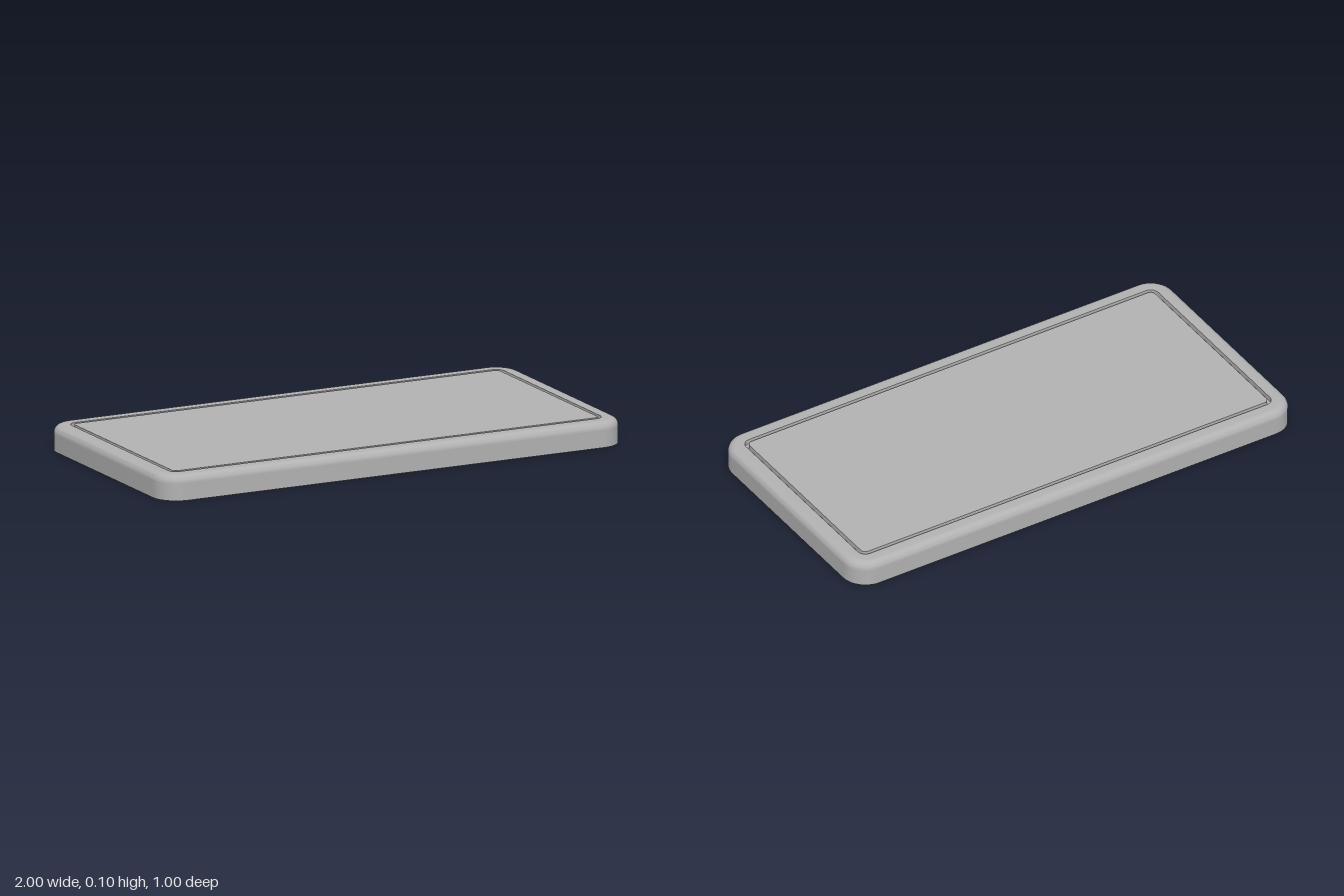
import * as THREE from 'three';
import { toCreasedNormals } from 'three/addons/utils/BufferGeometryUtils.js';

const CREASE = 0.5;

// Points of the rounded outline, shrunk by an inset.
function outline(inset) {
  const hx = 1 - inset, hz = 0.5 - inset, r = Math.max(0.1 - inset, 0.02), n = 10, pts = [];
  for (let c = 0; c < 4; c++) {
    const sx = c === 0 || c === 3 ? 1 : -1, sz = c < 2 ? 1 : -1;
    for (let k = 0; k <= n; k++) {
      const a = (c + k / n) * Math.PI / 2;
      pts.push(new THREE.Vector2(sx * (hx - r) + r * Math.cos(a), sz * (hz - r) + r * Math.sin(a)));
    }
  }
  return pts;
}

// Flat slab between two heights, with optional holes.
function slab(inset, y0, y1, holes = []) {
  const shape = new THREE.Shape(outline(inset));
  holes.forEach(h => shape.holes.push(new THREE.Path(h)));
  const geo = new THREE.ExtrudeGeometry(shape, { depth: y1 - y0, bevelEnabled: false });
  geo.rotateX(Math.PI / 2).translate(0, y1, 0);
  return toCreasedNormals(geo, CREASE);
}

// Sweep of [inset, y] steps around the outline.
function sweep(profile) {
  const rings = profile.map(([inset, y]) => outline(inset).map(p => [p.x, y, p.y]));
  const n = rings[0].length, index = [];
  for (let i = 0; i < rings.length - 1; i++) {
    for (let j = 0; j < n; j++) {
      const k = (j + 1) % n, a = i * n + j, b = i * n + k;
      index.push(a, a + n, b, a + n, b + n, b);
    }
  }
  const geo = new THREE.BufferGeometry();
  geo.setAttribute('position', new THREE.Float32BufferAttribute(rings.flat(2), 3));
  geo.setIndex(index);
  return toCreasedNormals(geo, CREASE);
}

// Square pocket opening with stepped extensions [halfWidth, z] on its front side.
function pocket(cx, steps = []) {
  const back = -0.29, front = 0.21, half = 0.25, right = [[half, back], [half, front]];
  let z = front;
  for (const [w, depth] of steps) {
    right.push([w, z], [w, depth]);
    z = depth;
  }
  const left = right.map(([x, d]) => [-x, d]).reverse();
  return [...right, ...left].map(([x, d]) => new THREE.Vector2(cx + x, d));
}

export function createModel() {
  const group = new THREE.Group();
  const grey = new THREE.MeshStandardMaterial({ color: 0xb2b2b2 });
  grey.name = 'grey';
  const add = (name, geo) => {
    const mesh = new THREE.Mesh(geo, grey);
    mesh.name = name;
    group.add(mesh);
  };
  const pair = steps => [-0.6, 0.6].map(x => pocket(x, steps));

  // Underside layers: notched opening, clip slot, pocket walls, pocket floor
  add('undersideWithNotches', slab(0, 0, 0.02, pair([[0.065, 0.26]])));
  add('clipSlotLayer', slab(0, 0.02, 0.045, pair([[0.2, 0.235], [0.065, 0.26]])));
  add('pocketWalls', slab(0, 0.045, 0.065, pair()));
  add('pocketFloor', slab(0, 0.065, 0.07));

  // Rounded rim running in to the floor of the groove
  const r = 0.03, profile = [];
  for (let k = 0; k <= 8; k++) {
    const a = k / 8 * Math.PI / 2;
    profile.push([r * (1 - Math.cos(a)), 0.07 + r * Math.sin(a)]);
  }
  profile.push([0.065, 0.1], [0.065, 0.08], [0.08, 0.08]);
  add('roundedRim', sweep(profile));

  // Flat panel inside the groove
  add('topPanel', slab(0.08, 0.07, 0.1));
  return group;
}
